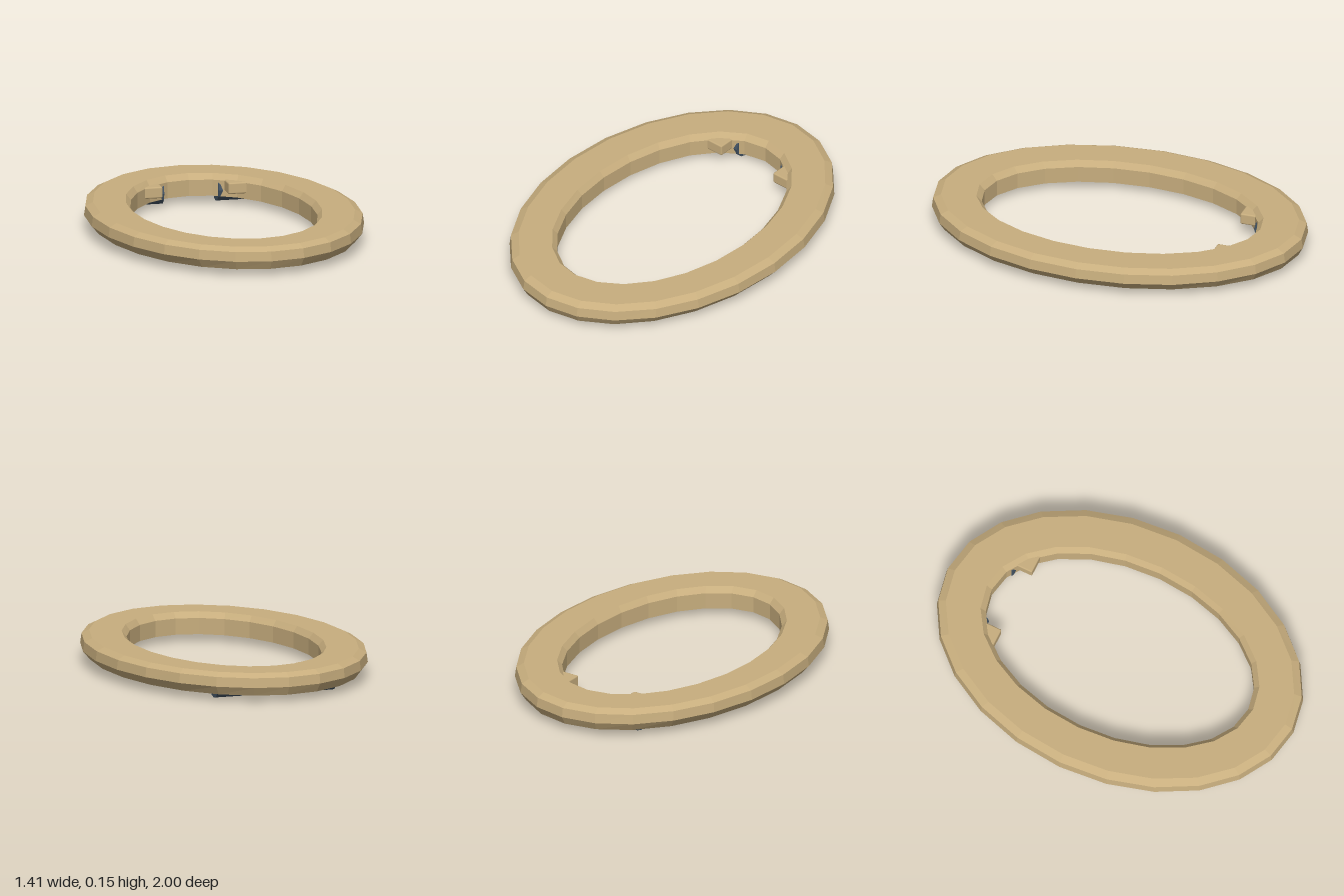
import * as THREE from 'three';
import { RoundedBoxGeometry } from 'three/addons/geometries/RoundedBoxGeometry.js';

const SIDES = 24;

// Closed oval ring swept from a cross-section of [x radius, z radius, height]
function ovalRing(profile) {
  const positions = [];
  const index = [];
  const n = profile.length;
  for (let i = 0; i < SIDES; i++) {
    const a = (i / SIDES) * Math.PI * 2;
    for (const [rx, rz, y] of profile) positions.push(rx * Math.sin(a), y, rz * Math.cos(a));
  }
  for (let i = 0; i < SIDES; i++) {
    const next = (i + 1) % SIDES;
    for (let j = 0; j < n; j++) {
      const k = (j + 1) % n;
      const a = i * n + j, b = next * n + j, c = next * n + k, d = i * n + k;
      index.push(a, b, c, a, c, d);
    }
  }
  const geometry = new THREE.BufferGeometry();
  geometry.setAttribute('position', new THREE.Float32BufferAttribute(positions, 3));
  geometry.setIndex(index);
  const flat = geometry.toNonIndexed();
  flat.computeVertexNormals();
  return flat;
}

export function createModel() {
  const tan = new THREE.MeshStandardMaterial({ color: 0xc8ae7e });
  tan.name = 'tan';
  const slate = new THREE.MeshStandardMaterial({ color: 0x445464 });
  slate.name = 'slate';
  const model = new THREE.Group();
  model.name = 'ovalSeat';

  // Seat ring: outer side from bottom to top, then down the inner side
  const ring = new THREE.Mesh(ovalRing([
    [0.665, 0.975, 0.035],
    [0.705, 1.0, 0.08],
    [0.698, 0.993, 0.13],
    [0.658, 0.953, 0.15],
    [0.49, 0.768, 0.15],
    [0.465, 0.74, 0.12],
    [0.465, 0.74, 0.035],
  ]), tan);
  ring.name = 'seatRing';
  model.add(ring);

  // Hinge barrels and mounting tabs at the back
  const barrelGeometry = new THREE.CylinderGeometry(0.067, 0.067, 0.18, 12).toNonIndexed();
  barrelGeometry.computeVertexNormals();
  barrelGeometry.rotateZ(Math.PI / 2);
  const tabGeometry = new RoundedBoxGeometry(0.12, 0.06, 0.155, 1, 0.008);
  for (const side of [-1, 1]) {
    const hinge = new THREE.Group();
    hinge.name = side > 0 ? 'leftHinge' : 'rightHinge';
    const barrel = new THREE.Mesh(barrelGeometry, slate);
    barrel.name = 'hingeBarrel';
    barrel.position.set(0, 0.067, -0.75);
    const tab = new THREE.Mesh(tabGeometry, tan);
    tab.name = 'hingeTab';
    tab.position.set(0, 0.095, -0.673);
    hinge.add(barrel, tab);
    hinge.position.x = side * 0.235;
    model.add(hinge);
  }
  return model;
}
